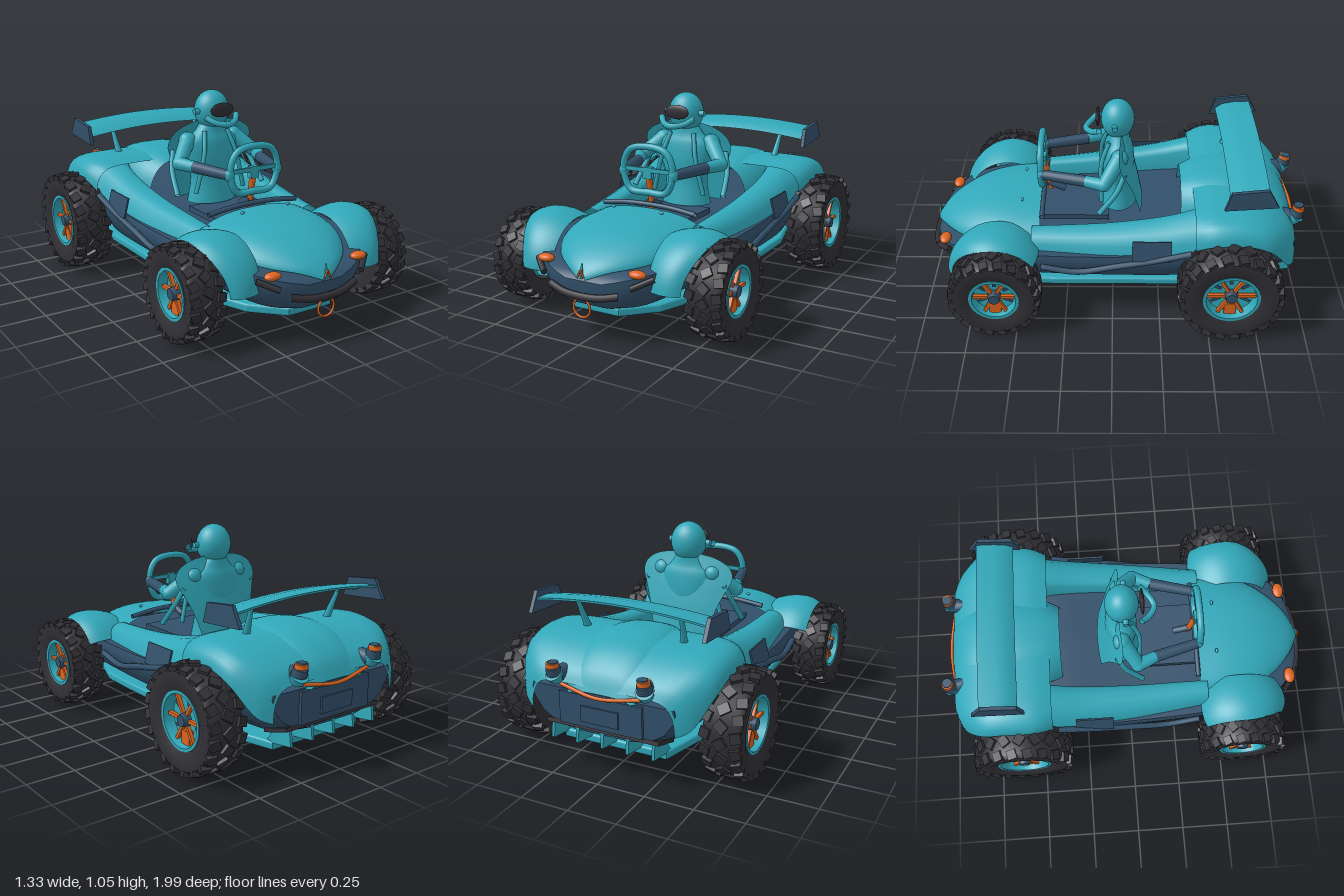
import * as THREE from 'three';
import { mergeGeometries, toCreasedNormals } from 'three/addons/utils/BufferGeometryUtils.js';

const mat = (name, color, side = THREE.DoubleSide) => {
  const m = new THREE.MeshStandardMaterial({ color, side });
  m.name = name;
  return m;
};
const V = (p) => new THREE.Vector3(...p);

// Surface through rows of [x, y, z] points
function grid(rows, crease = 0.7) {
  const n = rows[0].length, index = [];
  for (let i = 0; i < rows.length - 1; i++)
    for (let j = 0; j < n - 1; j++) {
      const a = i * n + j, b = a + n;
      index.push(a, b, a + 1, b, b + 1, a + 1);
    }
  const g = new THREE.BufferGeometry();
  g.setAttribute('position', new THREE.Float32BufferAttribute(rows.flat(2), 3));
  g.setIndex(index);
  return toCreasedNormals(g, crease);
}

// Smoothly resample a short table of numeric rows
function resample(table, count) {
  return Array.from({ length: count }, (_, i) => {
    const t = i / (count - 1) * (table.length - 1), k = Math.min(Math.floor(t), table.length - 2), f = t - k;
    const at = (q) => table[Math.max(0, Math.min(table.length - 1, q))];
    return table[0].map((_, c) => {
      const p = at(k - 1)[c], a = at(k)[c], b = at(k + 1)[c], d = at(k + 2)[c];
      return a + 0.5 * f * (b - p + f * (2 * p - 5 * a + 4 * b - d + f * (3 * (a - b) + d - p)));
    });
  });
}

// Domed panel: table rows are [z, halfWidth, topY, edgeY]
const dome = (table, power, bulge = 0.6, n = 24) => grid(resample(table, 28).map(([z, w, top, edge]) =>
  Array.from({ length: n + 1 }, (_, j) => {
    const u = Math.sin((j / n - 0.5) * Math.PI);
    return [u * w, edge + (top - edge) * Math.pow(Math.max(0, 1 - Math.pow(Math.abs(u), power)), bulge), z];
  })), 1.2);

export function createModel() {
  const kart = new THREE.Group();
  kart.name = 'buggy';
  const teal = mat('teal paint', 0x31a7b9), navy = mat('navy panels', 0x32506a);
  const black = mat('black rubber', 0x302f35, THREE.FrontSide), orange = mat('orange accents', 0xdd651f);

  const add = (name, geo, m, pos = [0, 0, 0], parent = kart) => {
    const mesh = new THREE.Mesh(geo, m);
    mesh.name = name;
    mesh.position.set(...pos);
    parent.add(mesh);
    return mesh;
  };
  const ball = (name, pos, r, m) => add(name, new THREE.SphereGeometry(1, 28, 18).scale(...r), m, pos);
  const tube = (name, pts, r, m, closed = false) =>
    add(name, new THREE.TubeGeometry(new THREE.CatmullRomCurve3(pts.map(V), closed), pts.length * 8, r, 10, closed), m);
  const limb = (name, a, b, r0, r1, m) => {
    const d = V(b).sub(V(a));
    const mesh = add(name, new THREE.CylinderGeometry(r1, r0, d.length(), 16), m);
    mesh.position.copy(V(a).addScaledVector(d, 0.5));
    mesh.quaternion.setFromUnitVectors(new THREE.Vector3(0, 1, 0), d.normalize());
  };

  // Lower tub: [z, halfWidth, bottom, top]
  const tubOutline = [[0, 0], [0.4, 0], [0.65, 0.1], [0.85, 0.33], [0.97, 0.65], [1, 0.88], [0.98, 1], [0, 1]];
  const tubStations = resample([[0.955, 0.1, 0.22, 0.3], [0.91, 0.23, 0.17, 0.33], [0.8, 0.35, 0.15, 0.36],
    [0.6, 0.42, 0.145, 0.38], [0.35, 0.455, 0.145, 0.39], [0, 0.475, 0.145, 0.4], [-0.35, 0.49, 0.15, 0.43],
    [-0.55, 0.44, 0.16, 0.43], [-0.8, 0.43, 0.18, 0.43], [-0.94, 0.38, 0.23, 0.43]], 40);
  const ring = [...tubOutline, ...tubOutline.slice(0, -1).reverse().map(([x, y]) => [-x, y])];
  const tubRows = tubStations.map(([z, w, b, t]) => ring.map(([x, y]) => [x * w, b + y * (t - b), z]));
  const cap = (row) => row.map(([, , z]) => [0, 0.3, z]);
  add('tub', grid([cap(tubRows[0]), ...tubRows, cap(tubRows.at(-1))], 0.6), navy);

  // Flat underfloor
  const floorHalf = [[0.12, 0.84], [0.26, 0.7], [0.33, 0.52], [0.34, 0.3], [0.34, -0.55], [0.27, -0.82]];
  const floor = new THREE.Shape([...floorHalf, ...floorHalf.map(([x, z]) => [-x, z]).reverse()].map((p) => new THREE.Vector2(...p)));
  add('underfloor', new THREE.ExtrudeGeometry(floor, { depth: 0.02, bevelSize: 0.012, bevelThickness: 0.012, bevelSegments: 3 })
    .rotateX(Math.PI / 2), teal, [0, 0.142, 0]);

  // Hood, rear deck and engine cover
  add('hood', dome([[0.38, 0.33, 0.51, 0.42], [0.55, 0.33, 0.507, 0.41], [0.7, 0.3, 0.485, 0.38],
    [0.82, 0.22, 0.44, 0.36], [0.91, 0.12, 0.385, 0.345], [0.965, 0.02, 0.325, 0.31]], 2.4), teal);
  add('rearDeck', dome([[-0.42, 0.5, 0.6, 0.47], [-0.52, 0.53, 0.625, 0.52], [-0.68, 0.53, 0.625, 0.52],
    [-0.8, 0.515, 0.59, 0.47], [-0.9, 0.45, 0.525, 0.34], [-0.945, 0.38, 0.46, 0.3]], 11, 0.5), teal);
  add('engineCover', dome([[-0.36, 0.2, 0.6, 0.42], [-0.46, 0.24, 0.635, 0.46], [-0.62, 0.26, 0.65, 0.5],
    [-0.78, 0.25, 0.62, 0.48], [-0.9, 0.21, 0.54, 0.43], [-0.955, 0.17, 0.44, 0.41]], 3), teal);
  add('rearPanel', new THREE.BoxGeometry(0.44, 0.16, 0.02), navy, [0, 0.34, -0.945]);
  add('rearPlate', new THREE.BoxGeometry(0.2, 0.08, 0.01), navy, [0, 0.33, -0.96]);
  tube('rearStrip', [[-0.22, 0.45, -0.94], [0, 0.425, -0.967], [0.22, 0.45, -0.94]], 0.009, orange);

  // Rear diffuser
  add('diffuser', new THREE.BoxGeometry(0.6, 0.02, 0.16), black, [0, 0.23, -0.87]).rotation.x = 0.3;
  for (let i = -2; i <= 2; i++) {
    const fin = new THREE.Shape([[0.78, 0.14], [0.95, 0.165], [0.94, 0.25], [0.86, 0.25]].map((p) => new THREE.Vector2(...p)));
    add('diffuserFin', new THREE.ExtrudeGeometry(fin, { depth: 0.015, bevelEnabled: false }).rotateY(Math.PI / 2), teal, [i * 0.135 - 0.008, 0, 0]);
  }

  // Wheel with tread blocks; local +y is the outer side
  const wheel = (name, s, x, y, z, r, hw) => {
    const g = new THREE.Group();
    g.name = name;
    g.position.set(s * x, y, z);
    g.rotation.z = -s * Math.PI / 2;
    kart.add(g);
    const rr = r * 0.54, rt = r - 0.014;
    const prof = [[rr, -hw * 0.8], [r * 0.72, -hw], [r * 0.88, -hw * 0.95], [rt, -hw * 0.7], [rt, hw * 0.7],
      [r * 0.88, hw * 0.95], [r * 0.72, hw], [rr, hw * 0.8], [rr, -hw * 0.8]];
    add('tyre', toCreasedNormals(new THREE.LatheGeometry(prof.map((p) => new THREE.Vector2(...p)), 40), 0.7), black, [0, 0, 0], g);
    const blocks = [], count = 20;
    for (let i = 0; i < count; i++) for (let k = -1; k <= 1; k++) {
      const b = new THREE.BoxGeometry(0.028, hw * (k ? 0.5 : 0.56), r * 0.18);
      b.rotateX(k ? k * 0.25 : (i % 2 ? 0.6 : -0.6));
      if (k) b.rotateZ(k * 0.2);
      b.translate(r - 0.014 - (k ? 0.004 : 0), k * hw * 0.74, 0);
      blocks.push(b.rotateY((i + (k ? 0.5 : 0)) / count * 2 * Math.PI));
    }
    add('treadBlocks', mergeGeometries(blocks), black, [0, 0, 0], g);
    const rim = [[rr - 0.015, -hw * 0.8], [rr, hw * 0.84], [rr - 0.016, hw * 0.84], [rr - 0.024, hw * 0.3], [0.001, hw * 0.2]];
    add('rim', toCreasedNormals(new THREE.LatheGeometry(rim.map((p) => new THREE.Vector2(...p)), 40), 0.5), teal, [0, 0, 0], g);
    for (let i = 0; i < 6; i++) {
      const a = i * Math.PI / 3 + Math.PI / 6;
      add('spoke', new THREE.BoxGeometry(rr - 0.03, 0.018, 0.016).translate(rr / 2, hw * 0.5, 0).rotateY(a), orange, [0, 0, 0], g);
      add('spokeGap', new THREE.BoxGeometry(rr * 0.4, 0.006, 0.016).translate(rr * 0.6, hw * 0.3, 0).rotateY(a + Math.PI / 6), navy, [0, 0, 0], g);
    }
    add('hub', new THREE.CylinderGeometry(0.028, 0.036, 0.04, 20), navy, [0, hw * 0.6, 0], g);
    add('brakeCaliper', new THREE.BoxGeometry(0.07, 0.03, 0.06), orange, [s * rr * 0.62, hw * 0.38, 0], g);
    limb('axle', [s * 0.3, y, z], [s * x, y, z], 0.02, 0.02, navy);
  };

  for (const s of [1, -1]) {
    wheel('frontWheel', s, 0.55, 0.247, 0.6, 0.237, 0.09);
    wheel('rearWheel', s, 0.558, 0.272, -0.6, 0.269, 0.1);

    // Front fender arch
    const arch = Array.from({ length: 25 }, (_, i) => {
      const a = (4 + i / 24 * 142) * Math.PI / 180, front = Math.max(0, Math.cos(a));
      return Array.from({ length: 15 }, (_, j) => {
        const u = j / 14, r = 0.27 * (1 - 0.13 * u ** 5 - 0.14 * (1 - u) ** 3);
        return [s * (0.27 + u * (0.255 - 0.08 * front ** 2)), 0.247 + r * Math.sin(a), 0.6 + r * Math.cos(a)];
      });
    });
    add('frontFender', grid(arch, 1), teal);

    // Side pod: [z, inner, outer, bottom, top]
    const pods = resample([[0.42, 0.28, 0.4, 0.37, 0.47], [0.2, 0.285, 0.43, 0.38, 0.485], [0, 0.29, 0.455, 0.39, 0.505],
      [-0.25, 0.29, 0.48, 0.4, 0.545], [-0.42, 0.28, 0.495, 0.42, 0.59], [-0.55, 0.25, 0.51, 0.5, 0.62]], 20);
    const podShape = [[0, 0], [0, 0.8], [0.08, 0.95], [0.25, 1], [0.5, 0.97], [0.72, 0.82], [0.9, 0.5], [1, 0]];
    add('sidePod', grid(pods.map(([z, a, b, lo, hi]) => podShape.map(([u, v]) => [s * (a + u * (b - a)), lo + v * (hi - lo), z])), 0.8), teal);
    add('sidePlate', new THREE.BoxGeometry(0.009, 0.11, 0.2), navy, [s * 0.482, 0.45, -0.2]).rotation.z = s * 0.25;
    tube('sideRail', [[s * 0.46, 0.33, 0.37], [s * 0.475, 0.31, 0.18], [s * 0.485, 0.35, 0], [s * 0.495, 0.4, -0.22], [s * 0.5, 0.45, -0.4]], 0.016, navy);

    // Lights and nose bars
    ball('headlight', [s * 0.255, 0.355, 0.89], [0.044, 0.02, 0.03], orange);
    limb('noseBar', [s * 0.325, 0.335, 0.86], [s * 0.24, 0.295, 0.93], 0.015, 0.015, black);
    limb('tailLightHousing', [s * 0.2, 0.53, -0.76], [s * 0.235, 0.49, -0.945], 0.018, 0.04, navy);
    limb('tailLightRim', [s * 0.235, 0.47, -0.935], [s * 0.24, 0.505, -0.96], 0.034, 0.044, teal);
    limb('tailLightNeck', [s * 0.24, 0.505, -0.955], [s * 0.24, 0.54, -0.966], 0.038, 0.034, navy);
    limb('tailLightLens', [s * 0.24, 0.54, -0.966], [s * 0.24, 0.562, -0.968], 0.032, 0.03, orange);
    limb('tailLightCap', [s * 0.235, 0.562, -0.968], [s * 0.235, 0.567, -0.968], 0.027, 0.025, navy);
    ball('hoodPin', [s * 0.14, 0.525, 0.48], [0.012, 0.008, 0.008], teal);

    // Wing end plate and strut
    const plate = new THREE.Shape([[0.55, 0.7], [0.58, 0.8], [0.76, 0.82], [0.815, 0.72]].map((p) => new THREE.Vector2(...p)));
    add('wingEndPlate', new THREE.ExtrudeGeometry(plate, { depth: 0.02, bevelEnabled: false }).rotateY(Math.PI / 2), navy, [s * 0.46 - 0.01, 0, 0]);
    limb('wingStrut', [s * 0.26, 0.58, -0.6], [s * 0.28, 0.765, -0.67], 0.022, 0.01, teal);

    // Driver's limbs
    const shoulder = [s * 0.145, 0.79, -0.035], elbow = [s * 0.245, 0.695, 0.045], wrist = [s * 0.205, 0.69, 0.14], hand = [s * 0.145, 0.69, 0.37];
    ball('shoulder', shoulder, [0.048, 0.045, 0.045], teal);
    limb('upperArm', shoulder, elbow, 0.044, 0.036, teal);
    ball('elbow', elbow, [0.037, 0.036, 0.037], teal);
    limb('forearm', elbow, wrist, 0.036, 0.03, teal);
    limb('sleeve', wrist, hand, 0.031, 0.026, navy);
    ball('hand', hand, [0.026, 0.034, 0.024], teal);
    tube('seatBrace', [[s * 0.22, 0.74, -0.06], [s * 0.25, 0.65, -0.02], [s * 0.27, 0.53, 0.07]], 0.014, teal);
    tube('harness', [[s * 0.07, 0.84, 0.02], [s * 0.1, 0.72, 0.06], [s * 0.15, 0.52, 0.06]], 0.012, teal);
    limb('helmetKnob', [s * 0.08, 0.945, -0.01], [s * 0.118, 0.945, -0.01], 0.015, 0.015, teal);
  }

  // Arched rear wing with an airfoil section
  const foil = [[-0.58, -0.02], [-0.62, 0.01], [-0.68, 0.022], [-0.77, 0.026], [-0.77, 0.016], [-0.68, 0], [-0.62, -0.02], [-0.58, -0.02]];
  add('rearWing', grid(Array.from({ length: 17 }, (_, i) => {
    const x = (i / 8 - 1) * 0.455;
    return foil.map(([z, y]) => [x, 0.79 - 0.15 * x * x + y, z]);
  })), teal);

  // Nose: bumper, tow ring, small fin
  tube('frontBumper', [[-0.19, 0.255, 0.945], [-0.1, 0.238, 0.968], [0, 0.234, 0.976], [0.1, 0.238, 0.968], [0.19, 0.255, 0.945]], 0.018, black);
  add('towRing', new THREE.TorusGeometry(0.046, 0.006, 10, 32), orange, [0, 0.175, 0.968]);
  limb('noseFin', [0, 0.315, 0.965], [0, 0.385, 0.955], 0.007, 0.005, teal);
  for (const s of [1, -1]) limb('noseTrim', [s * 0.016, 0.325, 0.97], [0, 0.36, 0.97], 0.005, 0.004, orange);

  // Cockpit
  add('footwell', new THREE.BoxGeometry(0.34, 0.03, 0.36), navy, [0, 0.43, 0.2]);
  tube('dashEdge', [[-0.27, 0.505, 0.37], [-0.13, 0.522, 0.37], [0, 0.526, 0.37], [0.13, 0.522, 0.37], [0.27, 0.505, 0.37]], 0.013, navy);
  limb('dashRod', [0, 0.54, 0.35], [0, 0.5, 0.26], 0.018, 0.018, navy);
  limb('steeringColumn', [0, 0.5, 0.335], [0, 0.67, 0.365], 0.014, 0.018, orange);
  add('steeringHub', new THREE.BoxGeometry(0.05, 0.06, 0.03), teal, [0, 0.69, 0.37]);
  tube('steeringWheel', [[0, 0.825, 0.375], [0.1, 0.805, 0.375], [0.14, 0.74, 0.375], [0.135, 0.65, 0.375], [0.1, 0.595, 0.375],
    [0, 0.59, 0.375], [-0.1, 0.595, 0.375], [-0.135, 0.65, 0.375], [-0.14, 0.74, 0.375], [-0.1, 0.805, 0.375]], 0.018, teal, true);
  add('steeringSpoke', new THREE.BoxGeometry(0.26, 0.022, 0.016), teal, [0, 0.705, 0.375]);
  const seat = resample([[0.45, 0.15, -0.16], [0.6, 0.19, -0.13], [0.7, 0.23, -0.105], [0.77, 0.26, -0.085],
    [0.83, 0.235, -0.065], [0.875, 0.15, -0.05], [0.895, 0.02, -0.045]], 22);
  add('seatBack', grid(seat.map(([y, w, z]) => Array.from({ length: 15 }, (_, j) => {
    const u = j / 7 - 1;
    return [u * w, y, z + 0.6 * (u * w) ** 2];
  })), 1), teal);

  // Driver's body: [y, radiusX, radiusZ]
  const torso = resample([[0.45, 0.14, 0.1], [0.58, 0.12, 0.08], [0.68, 0.145, 0.085], [0.78, 0.155, 0.075], [0.83, 0.1, 0.06], [0.88, 0.06, 0.055]], 20);
  add('torso', grid(torso.map(([y, a, b]) => Array.from({ length: 25 }, (_, j) => {
    const t = j / 12 * Math.PI;
    return [a * Math.cos(t), y, -0.03 + b * Math.sin(t)];
  })), 1), teal);
  ball('helmet', [0, 0.945, -0.025], [0.095, 0.105, 0.087], teal);
  ball('visor', [0, 0.957, 0.078], [0.071, 0.038, 0.012], black);
  tube('chinGuard', [[-0.095, 0.925, 0.07], [-0.06, 0.9, 0.11], [0, 0.89, 0.14], [0.06, 0.9, 0.11], [0.095, 0.925, 0.07]], 0.016, teal);
  return kart;
}
